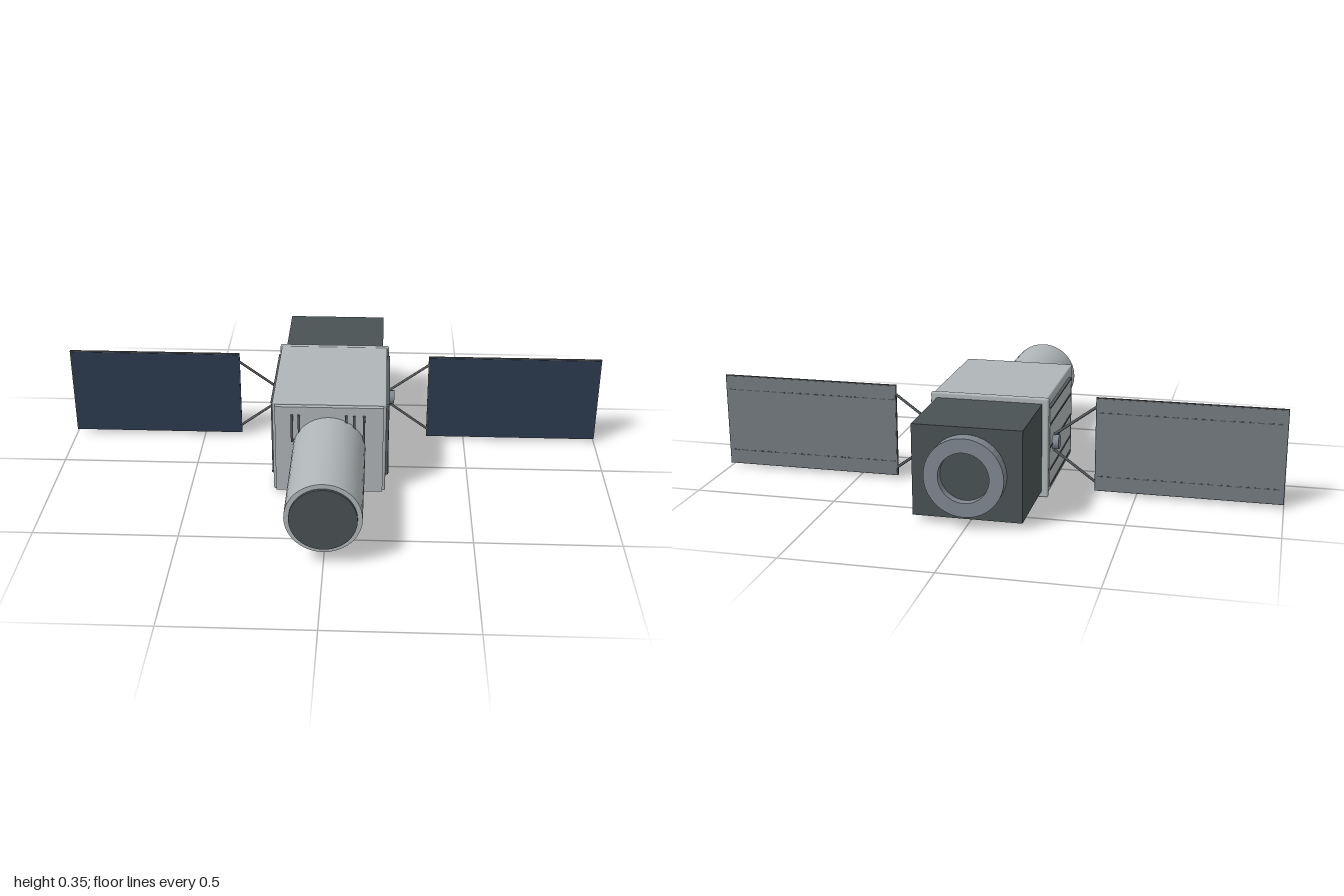
import * as THREE from 'three';
import { RoundedBoxGeometry } from 'three/addons/geometries/RoundedBoxGeometry.js';

const mat = (name, color) => {
  const m = new THREE.MeshStandardMaterial({ color });
  m.name = name;
  return m;
};

export function createModel() {
  const hull = mat('hull light grey', 0xb0b6b8);
  const dark = mat('dark grey', 0x4a5254);
  const steel = mat('steel grey', 0x808891);
  const line = mat('seam dark', 0x55595c);
  const navy = mat('solar navy', 0x2c3a4f);
  const backing = mat('panel backing grey', 0x757b81);

  const root = new THREE.Group();
  root.name = 'satellite';
  const CY = 0.178;

  const add = (name, geo, material, x, y, z, parent = root) => {
    const m = new THREE.Mesh(geo, material);
    m.name = name;
    m.position.set(x, y, z);
    parent.add(m);
    return m;
  };
  // Box given by its extents on each axis
  const box = (name, material, x0, x1, y0, y1, z0, z1, parent = root, r = 0) => {
    const s = [x1 - x0, y1 - y0, z1 - z0];
    const g = r ? new RoundedBoxGeometry(...s, 2, r) : new THREE.BoxGeometry(...s);
    return add(name, g, material, (x0 + x1) / 2, (y0 + y1) / 2, (z0 + z1) / 2, parent);
  };
  // Cylinder lying along z
  const barrel = (name, material, r, z0, z1) =>
    add(name, new THREE.CylinderGeometry(r, r, z1 - z0, 48).rotateX(Math.PI / 2),
      material, 0, CY, (z0 + z1) / 2);
  // Thin rod between two points
  const rod = (name, a, b, r, material, parent) => {
    const p = new THREE.Vector3(...a), q = new THREE.Vector3(...b);
    const d = q.clone().sub(p);
    const m = add(name, new THREE.CylinderGeometry(r, r, d.length(), 8), material, 0, 0, 0, parent);
    m.position.copy(p).add(q).multiplyScalar(0.5);
    m.quaternion.setFromUnitVectors(new THREE.Vector3(0, 1, 0), d.normalize());
  };

  // Main body with front plate and rear flange
  box('body', hull, -0.2, 0.2, 0.003, 0.352, -0.3, 0.18, root, 0.006);
  box('frontPlate', hull, -0.19, 0.19, 0.01, 0.345, 0.17, 0.198);
  box('rearFlange', hull, -0.206, 0.206, 0, 0.354, -0.306, -0.286, root, 0.006);

  // Front telescope barrel and its dark cover
  barrel('barrel', hull, 0.128, 0.19, 0.65);
  barrel('barrelCover', dark, 0.112, 0.64, 0.66);

  // Vertical vent bars on the front plate, in upper and lower rows
  for (const x of [-0.13, -0.105, 0.06, 0.088, 0.122]) {
    for (const [y0, y1] of [[0.045, 0.145], [0.212, 0.315]]) {
      box('ventBar', line, x - 0.004, x + 0.004, y0, y1, 0.19, 0.208);
    }
  }

  // Dark rear module
  box('rearModule', dark, -0.184, 0.184, 0.023, 0.335, -0.615, -0.3);

  // Rear docking ring with a recessed disc
  const ring = [[0.085, 0], [0.133, 0], [0.133, 0.045], [0.085, 0.045], [0.085, 0]]
    .map(([r, h]) => new THREE.Vector2(r, h));
  const ringGeo = new THREE.LatheGeometry(ring, 40).toNonIndexed();
  ringGeo.computeVertexNormals();
  add('dockingRing', ringGeo.rotateX(-Math.PI / 2), steel, 0, CY, -0.615);
  barrel('dockingDisc', dark, 0.086, -0.63, -0.61);

  // Side panels, hubs, struts and solar wings, built for each side
  for (const s of [1, -1]) {
    const side = new THREE.Group();
    side.name = s > 0 ? 'leftSide' : 'rightSide';
    root.add(side);
    const sx = (name, m, x0, x1, ...rest) =>
      box(name, m, Math.min(s * x0, s * x1), Math.max(s * x0, s * x1), ...rest, side);

    // Raised panel with seams
    sx('sidePanel', hull, 0.195, 0.208, 0.038, 0.317, -0.287, 0.123);
    for (const y of [0.038, 0.096, 0.178, 0.259, 0.317]) {
      sx('sideSeam', line, 0.2, 0.211, y - 0.0025, y + 0.0025, -0.287, 0.115);
    }
    sx('sideSeamFront', line, 0.2, 0.209, 0.038, 0.317, 0.12, 0.124);

    // Hub
    const hub = new THREE.CylinderGeometry(0.026, 0.026, 0.03, 12).rotateZ(Math.PI / 2);
    add('wingHub', hub, steel, s * 0.215, CY, -0.222, side);

    // Splayed struts
    for (const k of [1, -1]) {
      rod('wingStrut', [s * 0.212, CY + k * 0.028, -0.225],
        [s * 0.362, CY + k * 0.138, -0.225], 0.005, line, side);
    }

    // Solar wing: navy cells in front, grey backing behind, dark rim
    sx('wingCore', line, 0.356, 1, 0.012, 0.347, -0.229, -0.221);
    sx('wingCells', navy, 0.359, 0.997, 0.015, 0.344, -0.222, -0.2195);
    sx('wingBacking', backing, 0.359, 0.997, 0.015, 0.344, -0.2305, -0.228);

    // Dashed seams on the back of the wing
    for (const y of [0.065, 0.294]) {
      for (let i = 0; i < 20; i++) {
        const x = 0.365 + i * 0.0315;
        sx('backDash', line, x, x + 0.02, y - 0.002, y + 0.002, -0.2315, -0.2295);
      }
    }
  }
  return root;
}
